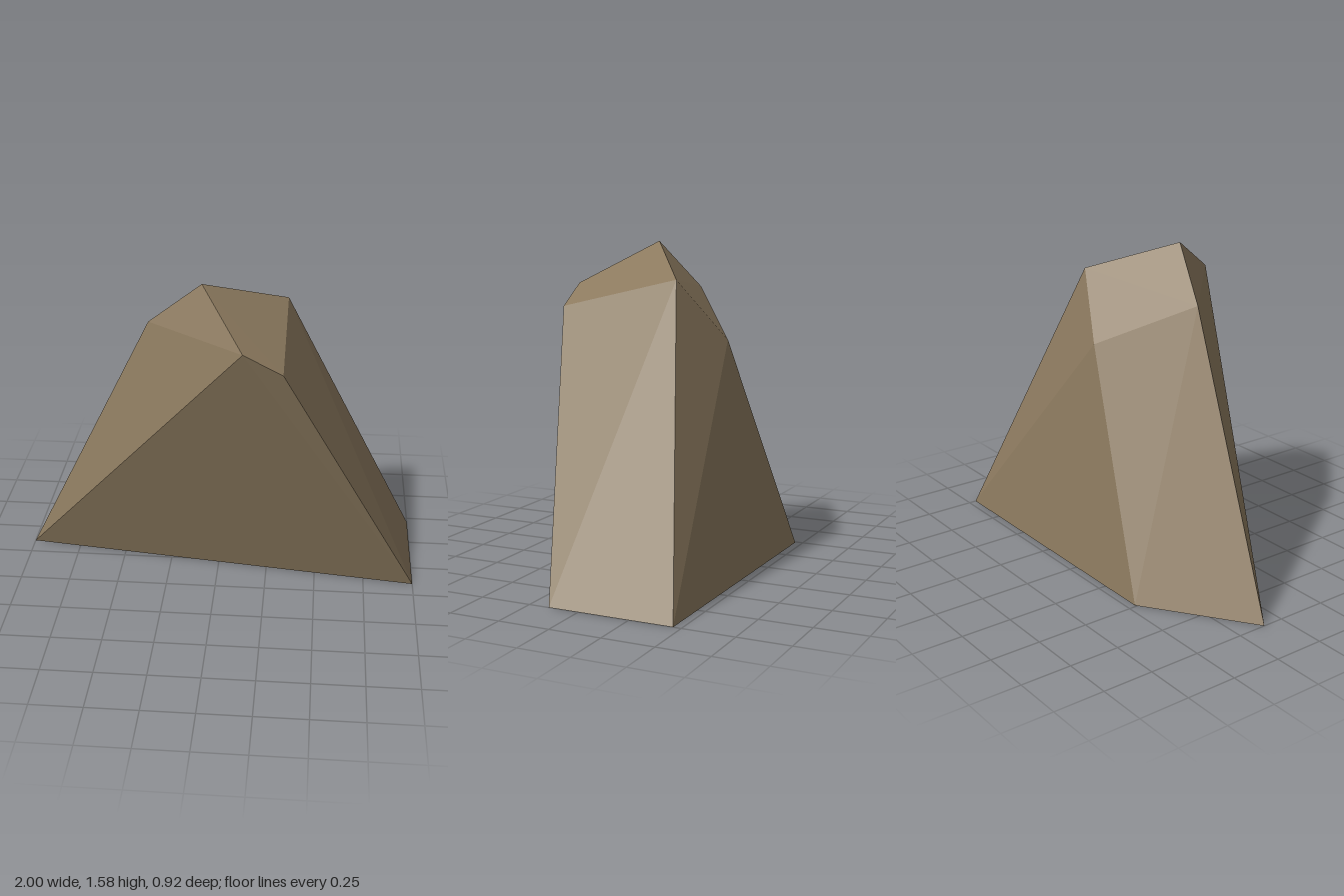
import * as THREE from 'three';
import { ConvexGeometry } from 'three/addons/geometries/ConvexGeometry.js';

export function createModel() {
  const group = new THREE.Group();
  group.name = 'rock';

  const stone = new THREE.MeshStandardMaterial({ color: 0x8b795e });
  stone.name = 'brown stone';

  // Four-sided footprint on the ground
  const base = [
    [-1, 0, -0.105], [-0.49, 0, -0.462], [1, 0, -0.462], [1, 0, 0.15],
  ];
  // Chipped crown leaning towards the front
  const crown = [
    [-0.34, 1.343, 0.02], [-0.07, 1.582, 0.125], [0.143, 1.378, 0.462],
    [0.327, 1.277, 0.447], [0.327, 1.42, -0.157], [0.05, 1.12, -0.3],
  ];

  // Faceted boulder: the convex solid spanned by footprint and crown
  const corners = [...base, ...crown].map((p) => new THREE.Vector3(...p));
  const boulder = new THREE.Mesh(new ConvexGeometry(corners), stone);
  boulder.name = 'boulder';
  group.add(boulder);

  return group;
}
